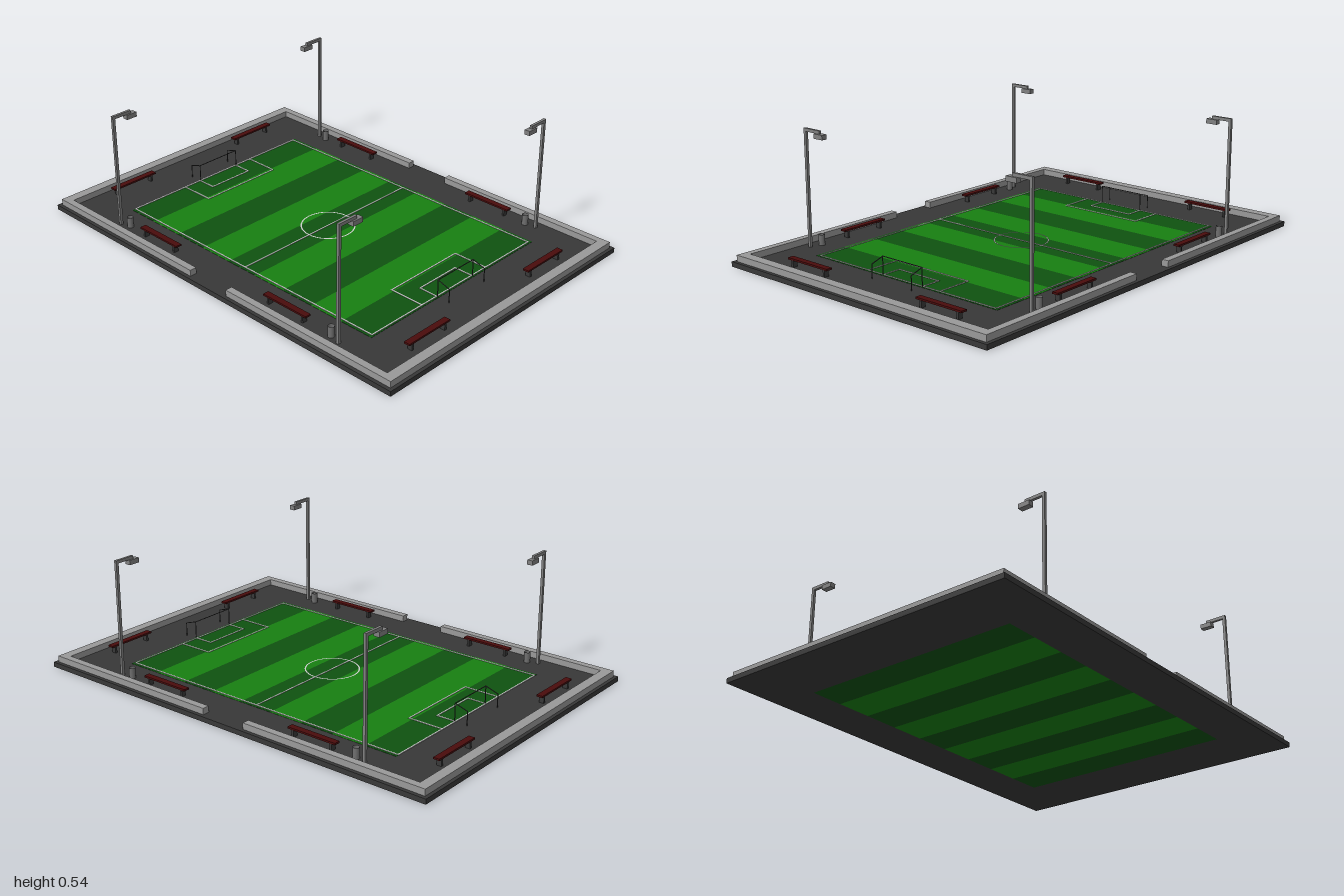
import * as THREE from 'three';

const mat = (color) => new THREE.MeshStandardMaterial({ color });
const M = {
  ground: mat(0x383838), wall: mat(0x999999), light: mat(0x178011), dark: mat(0x0f5210),
  line: mat(0xe8e8e8), metal: mat(0x808080), goal: mat(0x383838), seat: mat(0x4a0c0c),
};
const GROUND = 0.022;

export function createModel() {
  const model = new THREE.Group();

  const group = (name) => {
    const g = new THREE.Group();
    g.name = name;
    model.add(g);
    return g;
  };
  // Box given by its minimum and maximum on each axis
  const box = (parent, name, material, x0, x1, y0, y1, z0, z1) => {
    const mesh = new THREE.Mesh(new THREE.BoxGeometry(x1 - x0, y1 - y0, z1 - z0), material);
    mesh.position.set((x0 + x1) / 2, (y0 + y1) / 2, (z0 + z1) / 2);
    mesh.name = name;
    parent.add(mesh);
    return mesh;
  };
  const rect = (path, x, z) => path.moveTo(-x, -z).lineTo(x, -z).lineTo(x, z).lineTo(-x, z).closePath();

  // Paved slab with an opening for the pitch
  const slab = rect(new THREE.Shape(), 1, 0.708);
  slab.holes.push(rect(new THREE.Path(), 0.72, 0.505));
  const slabGeo = new THREE.ExtrudeGeometry(slab, { depth: GROUND, bevelEnabled: false });
  slabGeo.rotateX(-Math.PI / 2);
  const ground = new THREE.Mesh(slabGeo, M.ground);
  ground.name = 'ground';
  model.add(ground);

  // Striped grass
  const pitch = group('pitch');
  const edges = [-0.72, -0.572, -0.411, -0.249, -0.087, 0.075, 0.237, 0.399, 0.561, 0.72];
  for (let i = 0; i < 9; i++) {
    box(pitch, 'grassStripe', i % 2 ? M.light : M.dark, edges[i], edges[i + 1], 0, GROUND + 0.001, -0.505, 0.505);
  }

  // Painted lines
  const lines = group('pitchLines');
  const W = 0.003, Y0 = GROUND, Y1 = GROUND + 0.003;
  const lineX = (x0, x1, z) => box(lines, 'line', M.line, x0 - W, x1 + W, Y0, Y1, z - W, z + W);
  const lineZ = (x, z0, z1) => box(lines, 'line', M.line, x - W, x + W, Y0, Y1, z0, z1);
  for (const s of [-1, 1]) {
    lineX(-0.717, 0.71, s * 0.49);
    lineZ(s < 0 ? -0.717 : 0.71, -0.49, 0.49);
    // Penalty area and goal area
    for (const [depth, half] of [[0.16, 0.2], [0.087, 0.11]]) {
      const goalLine = s < 0 ? -0.717 : 0.71;
      const inner = goalLine - s * depth;
      lineZ(inner, -half, half);
      for (const z of [-half, half]) lineX(Math.min(goalLine, inner), Math.max(goalLine, inner), z);
    }
  }
  lineZ(0, -0.49, 0.49);
  const circle = new THREE.Mesh(new THREE.RingGeometry(0.114, 0.12, 48), M.line);
  circle.rotation.x = -Math.PI / 2;
  circle.position.y = Y1;
  circle.name = 'centreCircle';
  lines.add(circle);

  // Low wall with an entrance in the middle of each long side
  const walls = group('boundaryWall');
  for (const s of [-1, 1]) {
    const x = s * 0.9625, z = s * 0.676;
    box(walls, 'endWall', M.wall, x - 0.0225, x + 0.0225, 0.001, 0.05, -0.692, 0.692);
    for (const [x0, x1] of [[-0.94, -0.11], [0.105, 0.94]]) {
      box(walls, 'sideWall', M.wall, x0, x1, 0.001, 0.05, z - 0.016, z + 0.016);
    }
  }

  // Goals: mouth frame, sloping side bars and short rear posts
  const bar = (parent, name, a, b) => {
    const from = new THREE.Vector3(...a), to = new THREE.Vector3(...b);
    const mesh = new THREE.Mesh(new THREE.CylinderGeometry(0.002, 0.002, from.distanceTo(to), 6), M.goal);
    mesh.position.copy(from).lerp(to, 0.5);
    mesh.quaternion.setFromUnitVectors(new THREE.Vector3(0, 1, 0), to.sub(from).normalize());
    mesh.name = name;
    parent.add(mesh);
  };
  for (const s of [-1, 1]) {
    const goal = group('goal');
    const front = s * 0.714, back = s * 0.773;
    bar(goal, 'crossbar', [front, 0.102, -0.11], [front, 0.102, 0.11]);
    for (const z of [-0.11, 0.11]) {
      bar(goal, 'post', [front, GROUND, z], [front, 0.102, z]);
      bar(goal, 'sideBar', [front, 0.102, z], [back, 0.083, z]);
      bar(goal, 'rearPost', [back, GROUND, z], [back, 0.083, z]);
    }
  }

  // Benches: [x, z, quarter turn]
  const benches = [
    [-0.402, -0.611, 0], [0.395, -0.611, 0], [-0.402, 0.605, 0], [0.363, 0.605, 0],
    [-0.887, -0.367, 1], [-0.887, 0.363, 1], [0.876, -0.367, 1], [0.876, 0.363, 1],
  ];
  for (const [x, z, turn] of benches) {
    const bench = group('bench');
    bench.position.set(x, 0, z);
    bench.rotation.y = turn * Math.PI / 2;
    box(bench, 'seat', M.seat, -0.118, 0.118, 0.053, 0.061, -0.014, 0.014);
    for (const lx of [-0.095, 0.095]) {
      box(bench, 'leg', M.ground, lx - 0.005, lx + 0.005, GROUND, 0.053, -0.011, 0.011);
    }
  }

  // Open litter bins near the corners
  const binMat = mat(0x707070);
  binMat.side = THREE.DoubleSide;
  for (const x of [-0.61, 0.603]) for (const z of [-0.61, 0.603]) {
    const bin = new THREE.Mesh(new THREE.CylinderGeometry(0.014, 0.014, 0.048, 12, 1, true), binMat);
    bin.position.set(x, GROUND + 0.024, z);
    bin.name = 'litterBin';
    model.add(bin);
  }

  // Floodlights leaning over the pitch
  for (const x of [-0.657, 0.655]) for (const s of [-1, 1]) {
    const lamp = group('floodlight');
    lamp.position.x = x;
    if (s < 0) lamp.rotation.y = Math.PI;
    box(lamp, 'pole', M.metal, -0.006, 0.006, 0.001, 0.54, 0.611, 0.624);
    box(lamp, 'arm', M.metal, -0.006, 0.006, 0.526, 0.54, 0.528, 0.611);
    box(lamp, 'lampHead', M.metal, -0.013, 0.013, 0.505, 0.526, 0.503, 0.555);
  }
  return model;
}
